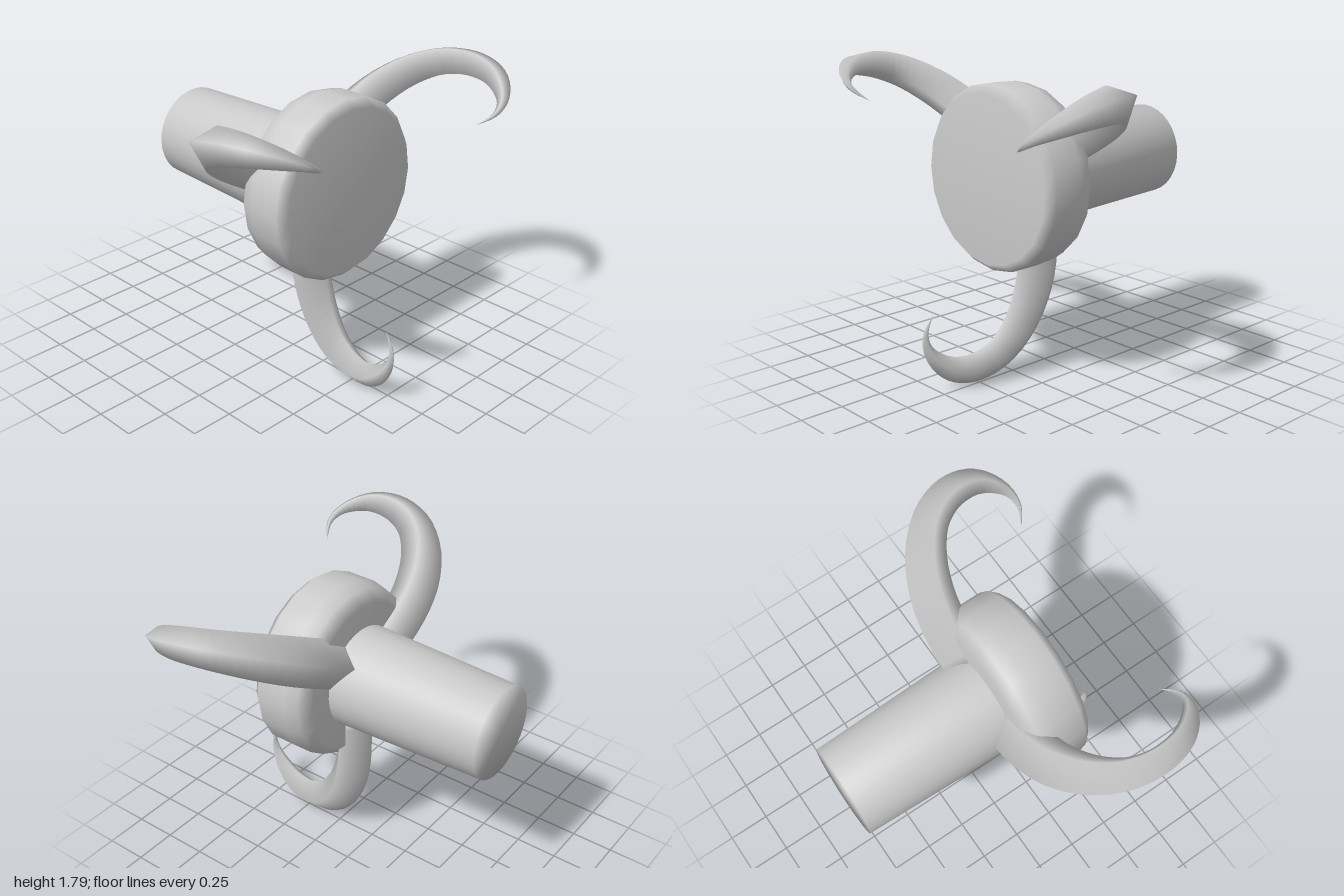
import * as THREE from 'three';

const AXIS_Y = 1.165;
const material = new THREE.MeshStandardMaterial({ color: 0xcccccc });

// Turned part along the z axis; profile is [radius, z] from back to front
function turned(name, profile, sides) {
  const geometry = new THREE.LatheGeometry(profile.map(([r, z]) => new THREE.Vector2(r, z)), sides);
  geometry.rotateX(Math.PI / 2);
  const mesh = new THREE.Mesh(geometry, material);
  mesh.name = name;
  mesh.position.y = AXIS_Y;
  return mesh;
}

// Four-sided tapering hook, pointing down from the axis and curling forward
function clawGeometry() {
  // Each point is z, y, half thickness
  const spine = new THREE.CatmullRomCurve3([
    [0.09, 0.945, 0.135], [0.09, 0.7, 0.135], [0.12, 0.5, 0.131], [0.2, 0.31, 0.12],
    [0.32, 0.17, 0.106], [0.45, 0.106, 0.095], [0.56, 0.096, 0.085], [0.66, 0.12, 0.07],
    [0.75, 0.185, 0.05], [0.808, 0.27, 0.029], [0.817, 0.36, 0.015], [0.77, 0.46, 0.001],
  ].map((p) => new THREE.Vector3(...p)));

  const yaw = -0.15; // the hook's plane is turned slightly sideways
  const forward = new THREE.Vector3(yaw, 0, 1).normalize();
  const side = new THREE.Vector3(1, 0, -yaw).normalize();
  const up = new THREE.Vector3(0, 1, 0);
  const steps = 33;
  const positions = [];
  const index = [0, 2, 1, 0, 3, 2]; // root cap

  for (let i = 0; i <= steps; i++) {
    const p = spine.getPoint(i / steps);
    const t = spine.getTangent(i / steps);
    const centre = new THREE.Vector3(0.045 + yaw * (p.x - 0.09), p.y - AXIS_Y, p.x);
    const normal = forward.clone().multiplyScalar(-t.y).addScaledVector(up, t.x).normalize();
    const radius = Math.max(p.z, 0.001);
    for (const [n, s] of [[1, 0], [0, -1], [-1, 0], [0, 1]]) {
      const v = centre.clone().addScaledVector(normal, n * radius).addScaledVector(side, s * radius);
      positions.push(v.x, v.y, v.z);
    }
    if (i === steps) break;
    for (let k = 0; k < 4; k++) {
      const a = i * 4 + k;
      const b = i * 4 + ((k + 1) % 4);
      index.push(a, b, b + 4, a, b + 4, a + 4);
    }
  }
  const geometry = new THREE.BufferGeometry();
  geometry.setAttribute('position', new THREE.Float32BufferAttribute(positions, 3));
  geometry.setIndex(index);
  geometry.computeVertexNormals();
  return geometry;
}

export function createModel() {
  const model = new THREE.Group();
  model.name = 'threeClawGripper';

  // Tapered arm with a closed back end
  model.add(turned('arm', [[0, -0.84], [0.267, -0.84], [0.297, 0.08]], 32));

  // Round palm with bevelled rims
  model.add(turned('palm', [
    [0, 0.075], [0.435, 0.075], [0.5, 0.13], [0.52, 0.21], [0.52, 0.39], [0.475, 0.44], [0, 0.44],
  ], 20));

  // Three claws spaced evenly around the axis
  const geometry = clawGeometry();
  ['lowerClaw', 'leftClaw', 'rightClaw'].forEach((name, i) => {
    const claw = new THREE.Mesh(geometry, material);
    claw.name = name;
    claw.position.y = AXIS_Y;
    claw.rotation.z = (i * Math.PI * 2) / 3;
    model.add(claw);
  });
  return model;
}
